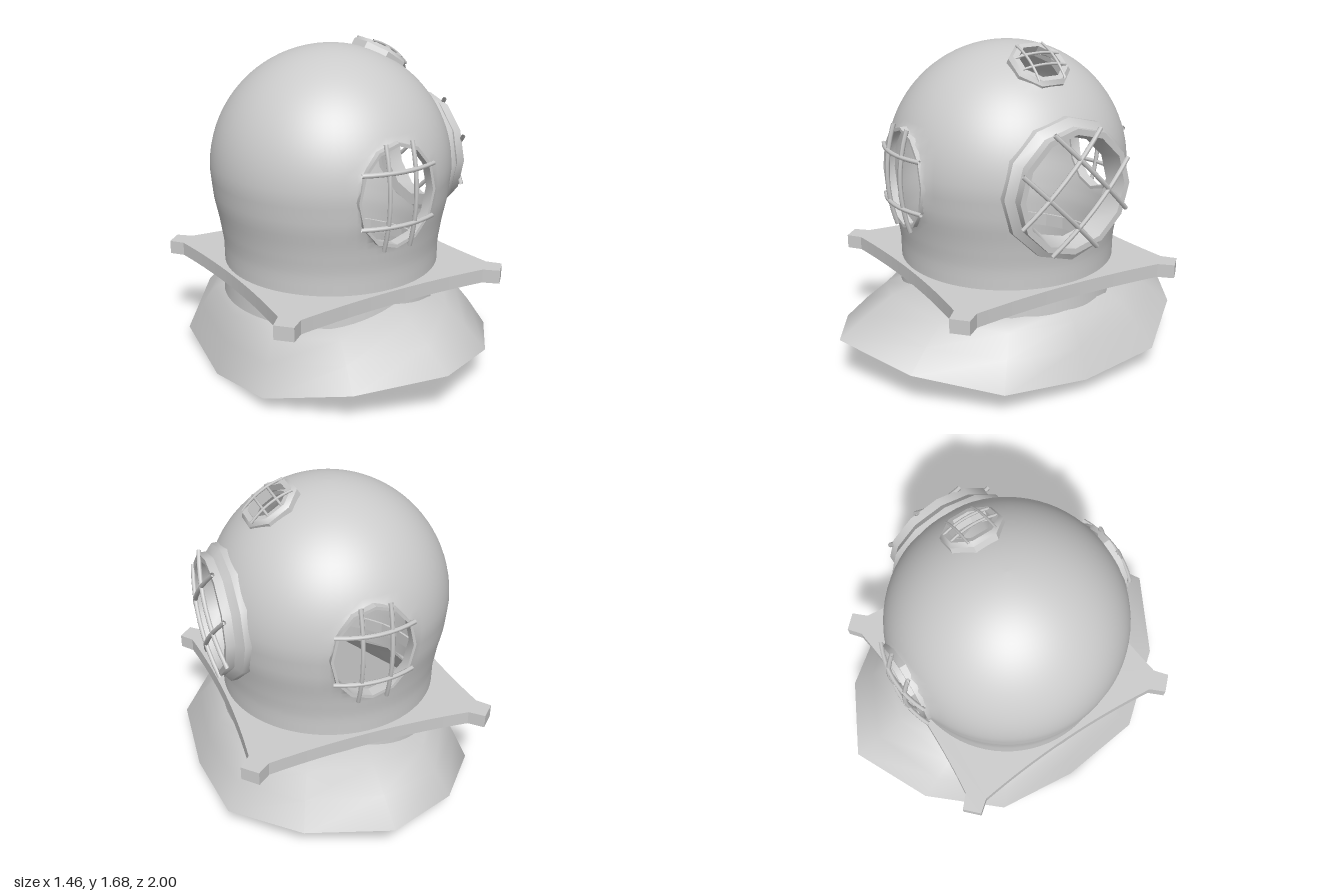
import * as THREE from 'three';
import { toCreasedNormals } from 'three/addons/utils/BufferGeometryUtils.js';

const CX = -0.03, CY = 1.04, R = 0.63;
const mat = new THREE.MeshStandardMaterial({ color: 0xcccccc, side: THREE.DoubleSide });
const V = (x, y, z) => new THREE.Vector3(x, y, z);

function part(name, geometry, parent) {
  const m = new THREE.Mesh(geometry, mat);
  m.name = name;
  parent.add(m);
  return m;
}

// Joins closed rings of points, listed bottom to top; keep() may drop triangles
function skin(rings, keep = () => true) {
  const n = rings[0].length, index = [];
  const tri = (a, b, c) => { if (keep(a, b, c)) index.push(a, b, c); };
  for (let i = 0; i < rings.length - 1; i++) {
    for (let j = 0; j < n; j++) {
      const a = i * n + j, b = i * n + (j + 1) % n;
      tri(a, a + n, b);
      tri(b, a + n, b + n);
    }
  }
  const g = new THREE.BufferGeometry().setFromPoints(rings.flat());
  g.setIndex(index);
  g.computeVertexNormals();
  return g;
}

// Radius of the helmet shell at a height: neck below, sphere above
const NECK = [[0.37, 0.58], [0.5, 0.57], [0.65, 0.572], [0.78, 0.592], [0.9, 0.617], [CY, R]];
function shellRadius(y) {
  if (y >= CY) return Math.sqrt(Math.max(0, R * R - (y - CY) ** 2));
  for (let i = 1; i < NECK.length; i++) {
    const [y0, r0] = NECK[i - 1], [y1, r1] = NECK[i];
    if (y <= y1) return THREE.MathUtils.mapLinear(y, y0, y1, r0, r1);
  }
}

// Window openings: centre, outward normal and half sizes
const TILT = 0.58;
const TOP_AXIS = V(Math.sin(TILT), Math.cos(TILT), 0);
const HOLES = [
  { c: V(CX, 1.035, 0.58), n: V(0, 0, 1), u: V(1, 0, 0), ru: 0.213, rv: 0.25 },
  { c: V(CX, 1.035, -0.58), n: V(0, 0, -1), u: V(1, 0, 0), ru: 0.213, rv: 0.25 },
  { c: V(0.52, 1.035, 0), n: V(1, 0, 0), u: V(0, 0, 1), ru: 0.28, rv: 0.28 },
  { c: V(0.29, 1.57, 0), n: TOP_AXIS, u: V(0, 0, 1), ru: 0.118, rv: 0.118 },
];

function shellGeometry() {
  const heights = [];
  for (let i = 0; i < 18; i++) heights.push(0.37 + (CY - 0.37) * i / 18);
  for (let i = 0; i <= 24; i++) heights.push(CY + R * Math.sin(i / 24 * Math.PI / 2));
  const inside = [];
  const rings = heights.map(y => Array.from({ length: 72 }, (_, j) => {
    const t = j / 72 * Math.PI * 2, r = Math.max(shellRadius(y), 0.0001);
    const p = V(CX + r * Math.cos(t), y, r * Math.sin(t));
    // Points inside an opening slide out to its edge
    const hit = HOLES.findIndex(h => {
      const q = p.clone().sub(h.c), v = h.n.clone().cross(h.u);
      const a = q.dot(h.u), b = q.dot(v), d = Math.hypot(a / h.ru, b / h.rv);
      if (q.dot(h.n) < -0.3 || d >= 1) return false;
      const k = 1 / Math.max(d, 0.01) - 1;
      p.addScaledVector(h.u, a * k).addScaledVector(v, b * k);
      return true;
    });
    inside.push(hit >= 0);
    return p;
  }));
  return skin(rings, (a, b, c) => !(inside[a] && inside[b] && inside[c]));
}

// Ring around local z from a closed profile of [radius, depth]
function ring(profile, sides, turn = 0) {
  const pts = [...profile, profile[0]].map(([r, d]) => new THREE.Vector2(r, d));
  return new THREE.LatheGeometry(pts, sides).rotateX(Math.PI / 2).rotateZ(turn);
}
const crease = g => toCreasedNormals(g, 0.6);

// Two bowed bars each way
function grille(parent, { dx, dy, lx, ly, base, lift, r }) {
  const g = new THREE.Group();
  g.name = 'grille';
  const bar = (a, mid, b) =>
    part('bar', new THREE.TubeGeometry(new THREE.QuadraticBezierCurve3(a, mid, b), 8, r, 6), g);
  for (const s of [-1, 1]) {
    bar(V(s * dx, -ly, base), V(s * dx, 0, base + 2 * lift), V(s * dx, ly, base));
    bar(V(-lx, s * dy, base), V(0, s * dy, base + 2 * lift), V(lx, s * dy, base));
  }
  parent.add(g);
  return g;
}

function windowGroup(name, parent) {
  const g = new THREE.Group();
  g.name = name;
  parent.add(g);
  return g;
}

export function createModel() {
  const root = new THREE.Group();
  root.name = 'divingHelmet';
  part('shell', shellGeometry(), root);

  // Saddle-shaped collar
  const half = [ // bottom x, y, z then top x, y, z
    [0.73, 0.09, 0, 0.55, 0.395, 0], [0.69, 0.12, 0.45, 0.49, 0.4, 0.29],
    [0.4, 0.19, 0.8, 0.27, 0.4, 0.5], [0, 0.255, 1, -0.01, 0.455, 0.575],
    [-0.4, 0.17, 0.8, -0.31, 0.375, 0.5], [-0.69, 0.07, 0.45, -0.53, 0.37, 0.29],
    [-0.73, 0, 0, -0.585, 0.37, 0],
  ];
  const loop = [...half, ...half.slice(1, -1).reverse().map(([a, b, c, d, e, f]) => [a, b, -c, d, e, -f])];
  const collarRing = (t, ty) => loop.map(([a, b, c, d, e, f]) =>
    V(a + (d - a) * t, b + (e - b) * ty, c + (f - c) * t));
  part('collar', skin([collarRing(0, 0), collarRing(0.36, 0.48), collarRing(0.7, 0.86), collarRing(1, 1)]), root);

  // Four-cornered clamp plate around the neck
  const plate = new THREE.Shape();
  const corner = [[0.62, 0.545], [0.68, 0.61], [0.61, 0.682], [0.545, 0.63]];
  for (let k = 0; k < 4; k++) {
    const c = Math.round(Math.cos(k * Math.PI / 2)), s = Math.round(Math.sin(k * Math.PI / 2));
    const turn = (x, y) => [x * c - y * s, x * s + y * c];
    corner.forEach(([x, y], i) => (k + i ? plate.lineTo(...turn(x, y)) : plate.moveTo(x, y)));
    plate.quadraticCurveTo(...turn(0, 0.56), ...turn(-0.545, 0.62));
  }
  plate.holes.push(new THREE.Path().absarc(0, 0, 0.56, 0, Math.PI * 2, true));
  const plateGeo = new THREE.ExtrudeGeometry(plate, { depth: 0.073, bevelEnabled: false, curveSegments: 16 });
  part('clampPlate', plateGeo.rotateX(-Math.PI / 2).translate(CX, 0.466, 0), root);

  // Oval windows on both z sides
  for (const s of [1, -1]) {
    const g = windowGroup('sideWindow', root);
    g.position.set(CX, 1.035, 0);
    g.rotation.y = s > 0 ? 0 : Math.PI;
    const rim = ring([[0.262, 0.555], [0.262, 0.612], [0.245, 0.612], [0.245, 0.555]], 12);
    part('rim', crease(rim.scale(0.84, 1, 1)), g);
    grille(g, { dx: 0.075, dy: 0.133, lx: 0.205, ly: 0.263, base: 0.61, lift: 0.045, r: 0.012 });
  }

  // Large round window with a flange that follows the shell
  const main = windowGroup('mainWindow', root);
  main.position.set(0, 1.035, 0);
  main.rotation.y = Math.PI / 2;
  const flange = ring([[0.352, -0.005], [0.352, 0.035], [0.31, 0.05], [0.3, -0.02]], 12);
  const pos = flange.attributes.position;
  for (let i = 0; i < pos.count; i++) {
    const x = pos.getX(i), rad = shellRadius(pos.getY(i) + 1.035);
    pos.setZ(i, pos.getZ(i) + CX + Math.sqrt(rad * rad - x * x));
  }
  part('flange', crease(flange), main);
  part('frame', crease(ring([[0.315, 0.49], [0.315, 0.61], [0.285, 0.61], [0.255, 0.5]], 12)), main);
  grille(main, { dx: 0.12, dy: 0.12, lx: 0.305, ly: 0.305, base: 0.608, lift: 0.035, r: 0.012 })
    .rotation.z = Math.PI / 4;

  // Small tilted porthole near the crown
  const top = windowGroup('topPorthole', root);
  top.position.set(0.275, 1.595, 0);
  top.quaternion.setFromUnitVectors(V(0, 0, 1), V(1, 0, 0))
    .premultiply(new THREE.Quaternion().setFromAxisAngle(V(0, 0, 1), Math.PI / 2 - TILT));
  const port = ring([[0.158, -0.045], [0.158, 0.0], [0.14, 0.02], [0.112, 0.02], [0.112, -0.045]], 8, Math.PI / 8);
  part('rim', crease(port), top);
  grille(top, { dx: 0.073, dy: 0.04, lx: 0.125, ly: 0.125, base: 0.018, lift: 0.02, r: 0.007 });
  return root;
}
